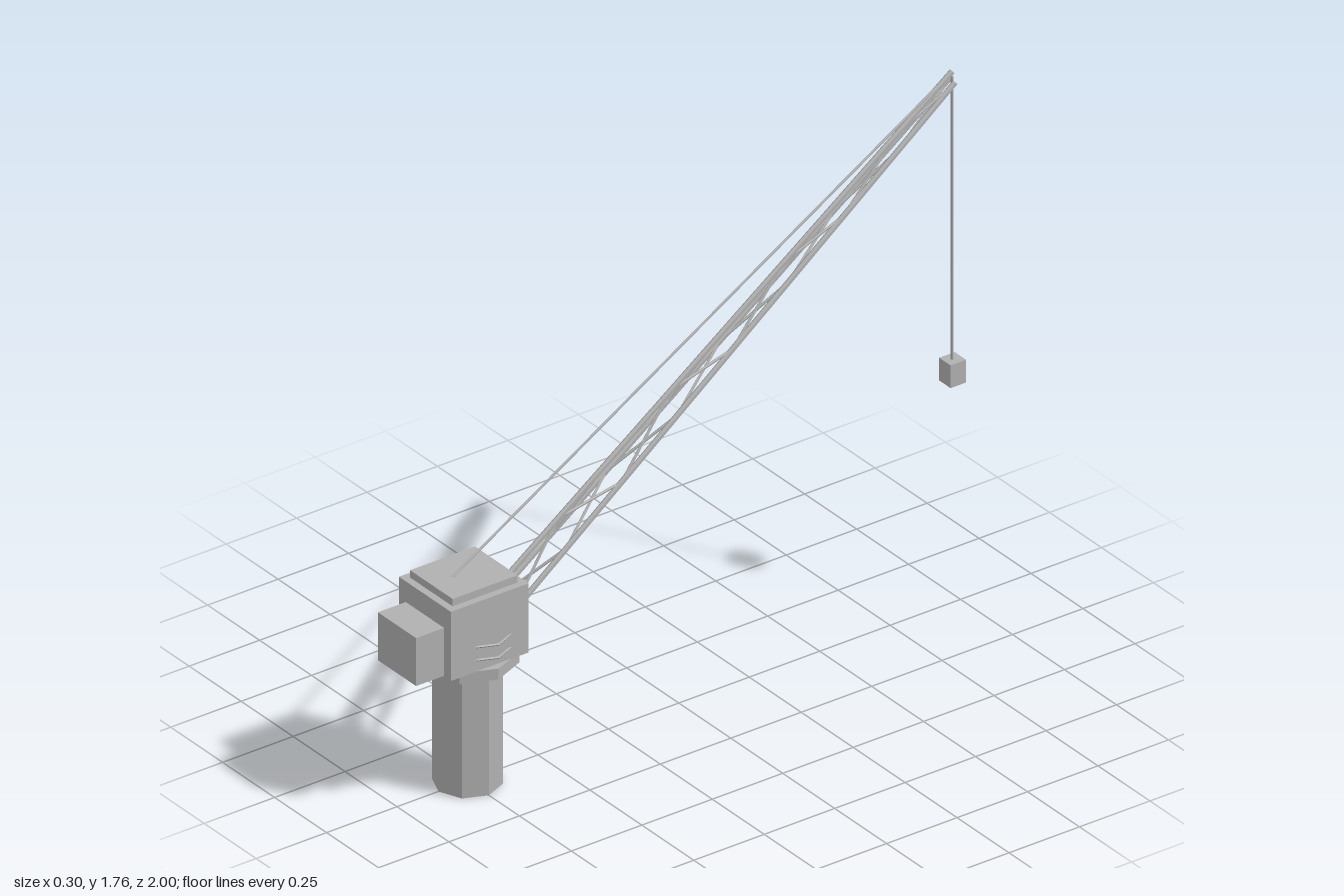
import * as THREE from 'three';

export function createModel() {
  const model = new THREE.Group();
  model.name = 'pedestalCrane';
  const steel = new THREE.MeshStandardMaterial({ color: 0xb0b0b0, flatShading: true });
  steel.name = 'grey steel';

  function add(name, geometry, x, y, z, parent = model) {
    const mesh = new THREE.Mesh(geometry, steel);
    mesh.name = name;
    mesh.position.set(x, y, z);
    parent.add(mesh);
    return mesh;
  }
  const box = (name, w, h, d, x, y, z) => add(name, new THREE.BoxGeometry(w, h, d), x, y, z);

  // straight round bar between two points
  const up = new THREE.Vector3(0, 1, 0);
  function bar(name, a, b, radius, parent = model) {
    const dir = b.clone().sub(a);
    const mid = a.clone().add(b).multiplyScalar(0.5);
    const mesh = add(name, new THREE.CylinderGeometry(radius, radius, dir.length(), 6), mid.x, mid.y, mid.z, parent);
    mesh.quaternion.setFromUnitVectors(up, dir.normalize());
  }

  // octagonal pedestal and slewing collar
  const axisZ = 0.75;
  add('pedestal', new THREE.CylinderGeometry(0.103, 0.103, 0.41, 8), 0, 0.205, axisZ);
  add('collar', new THREE.CylinderGeometry(0.15, 0.15, 0.036, 8), 0, 0.421, axisZ);

  // guard rails, mostly hidden inside the machinery house
  for (const y of [0.475, 0.518]) {
    const rail = add('guardRail', new THREE.TorusGeometry(0.148, 0.004, 5, 8), 0, y, axisZ);
    rail.rotation.x = Math.PI / 2;
  }

  // machinery house, roof cap and counterweight
  box('machineryHouse', 0.25, 0.228, 0.276, 0, 0.552, 0.763);
  box('roofCap', 0.205, 0.024, 0.23, 0, 0.678, 0.763);
  box('counterweight', 0.184, 0.158, 0.104, 0, 0.519, 0.948);

  // triangular lattice boom: two lower chords and one upper chord
  const boom = new THREE.Group();
  boom.name = 'boom';
  model.add(boom);
  const chord = (x0, y0, x1, y1) => ({
    a: new THREE.Vector3(x0, y0, 0.63),
    b: new THREE.Vector3(x1, y1, -0.97),
  });
  const left = chord(0.046, 0.527, 0.014, 1.72);
  const right = chord(-0.046, 0.527, -0.014, 1.72);
  const top = chord(0, 0.612, 0, 1.75);
  const at = (c, t) => c.a.clone().lerp(c.b, t);
  bar('leftChord', left.a, left.b, 0.009, boom);
  bar('rightChord', right.a, right.b, 0.009, boom);
  bar('upperChord', top.a, top.b, 0.009, boom);

  // zigzag bracing on the three faces of the boom
  const panels = 8;
  const faces = [[left, top], [top, right], [right, left]];
  for (let i = 0; i < panels; i++) {
    for (const [p, q] of faces) {
      const [from, to] = i % 2 ? [q, p] : [p, q];
      bar('brace', at(from, i / panels), at(to, (i + 1) / panels), 0.0045, boom);
    }
  }

  // stay cable, hoist line and hook block
  bar('stayCable', new THREE.Vector3(0, 0.685, 0.81), top.b, 0.004);
  bar('hoistLine', new THREE.Vector3(0, 0.79, -0.97), new THREE.Vector3(0, 1.735, -0.97), 0.005);
  box('hookBlock', 0.055, 0.075, 0.055, 0, 0.765, -0.972);

  return model;
}
